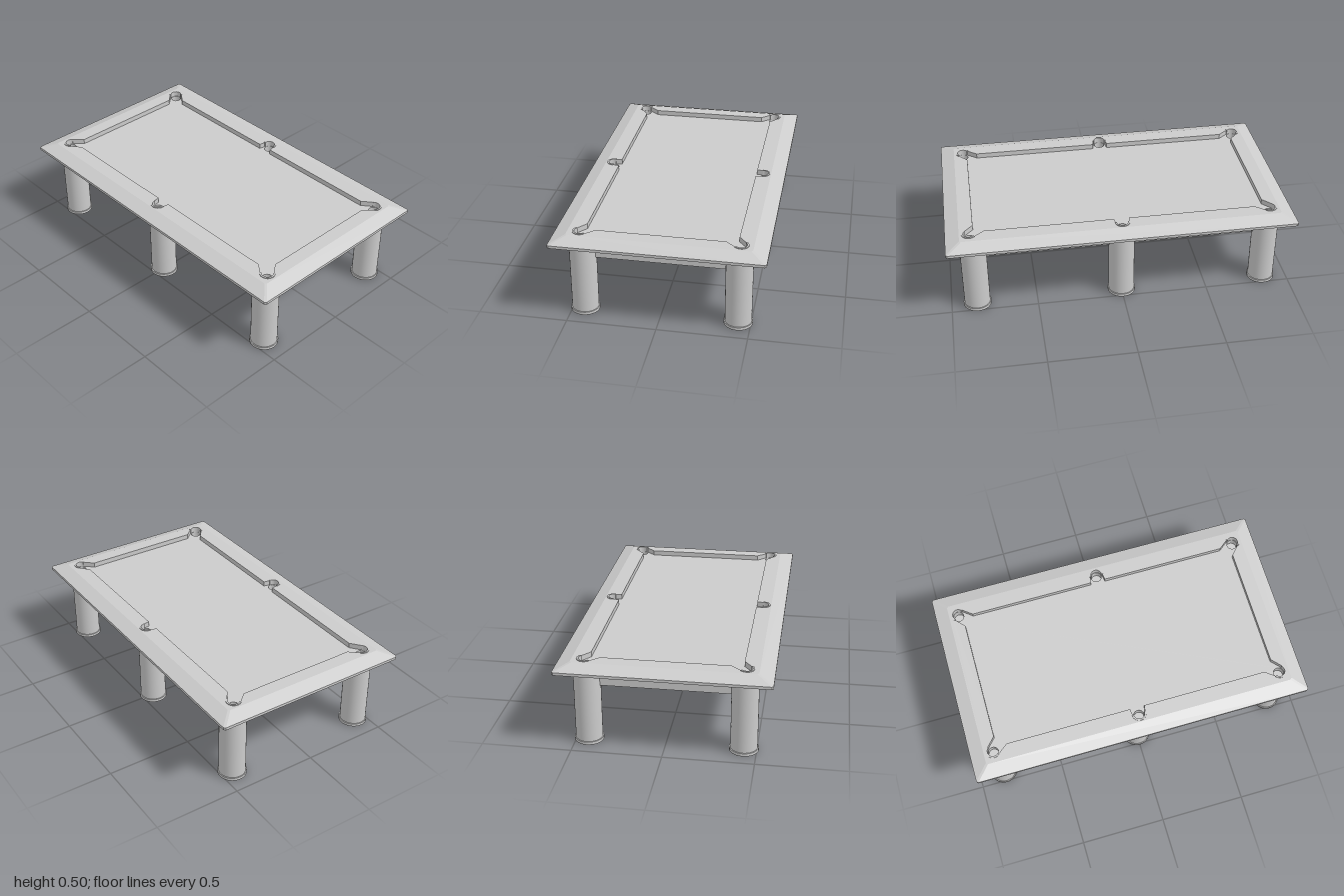
import * as THREE from 'three';

const material = new THREE.MeshStandardMaterial({ color: 0xcccccc });
const doubleSided = new THREE.MeshStandardMaterial({ color: 0xcccccc, side: THREE.DoubleSide });

const TOP = 0.496, BED = 0.466, UNDERSIDE = 0.416;
const POCKET_R = 0.037;
const corner = { x: 0.865, z: 0.437 };
const middle = { x: 0, z: 0.457 };

function add(parent, name, geometry, x = 0, y = 0, z = 0, mat = material) {
  const mesh = new THREE.Mesh(geometry, mat);
  mesh.name = name;
  mesh.position.set(x, y, z);
  parent.add(mesh);
  return mesh;
}

// Horizontal plate: shape (x, z) extruded downwards from y = 0
function plate(shape, depth) {
  return new THREE.ExtrudeGeometry(shape, { depth, bevelEnabled: false, curveSegments: 24 })
    .rotateX(Math.PI / 2);
}

function arc(cx, cz, r, fromDeg, toDeg, steps = 14) {
  return Array.from({ length: steps + 1 }, (_, i) => {
    const a = THREE.MathUtils.degToRad(fromDeg + (toDeg - fromDeg) * i / steps);
    return new THREE.Vector2(cx + r * Math.cos(a), cz + r * Math.sin(a));
  });
}

// Rectangle with small clipped corners, as [x, z] points
function rectangle(w, d, c = 0.01) {
  return [[w, d - c], [w - c, d], [c - w, d], [-w, d - c],
    [-w, c - d], [c - w, -d], [w - c, -d], [w, c - d]];
}
const rectShape = (w, d) => new THREE.Shape(rectangle(w, d).map(p => new THREE.Vector2(...p)));

// Cushion line running around the four corner and two middle pockets
function cushionOutline() {
  const V = (x, z) => new THREE.Vector2(x, z);
  const quarter = [V(0.84, 0.355), ...arc(corner.x, corner.z, POCKET_R, -40, 127), V(0.78, 0.417)];
  const mid = [V(0.043, 0.417), ...arc(middle.x, middle.z, POCKET_R, 0, 180), V(-0.043, 0.417)];
  const mirrored = quarter.map(p => V(-p.x, p.y)).reverse();
  const half = [...quarter, ...mid, ...mirrored];
  return [...half, ...half.map(p => V(-p.x, -p.y))];
}

// Sloped outer edge lofted through four rectangular loops
function edgeGeometry() {
  const loops = [[0.92, 0.505, UNDERSIDE], [1, 0.586, 0.451], [1, 0.586, 0.467], [0.92, 0.505, TOP]]
    .map(([w, d, y]) => rectangle(w, d).map(([x, z]) => [x, y, z]));
  const pos = [];
  for (let k = 0; k < loops.length - 1; k++) {
    const lo = loops[k], hi = loops[k + 1];
    for (let i = 0; i < lo.length; i++) {
      const j = (i + 1) % lo.length;
      pos.push(...lo[i], ...hi[i], ...hi[j], ...lo[i], ...hi[j], ...lo[j]);
    }
  }
  const g = new THREE.BufferGeometry();
  g.setAttribute('position', new THREE.Float32BufferAttribute(pos, 3));
  g.computeVertexNormals();
  return g;
}

export function createModel() {
  const model = new THREE.Group();
  model.name = 'billiardTable';

  const pockets = [];
  for (const sz of [-1, 1]) {
    for (const sx of [-1, 1]) pockets.push({ x: sx * corner.x, z: sz * corner.z, sx, sz });
    pockets.push({ x: 0, z: sz * middle.z, sx: 0, sz });
  }

  // Table top: edge, rails, playing bed and underside
  const top = new THREE.Group();
  top.name = 'tableTop';
  model.add(top);
  add(top, 'slopedEdge', edgeGeometry());
  const rails = rectShape(0.92, 0.505);
  rails.holes.push(new THREE.Path(cushionOutline()));
  add(top, 'rails', plate(rails, TOP - BED), 0, TOP);
  const bed = rectShape(0.915, 0.5);
  for (const p of pockets) bed.holes.push(new THREE.Path(arc(p.x, p.z, 0.03, 360, 15, 23)));
  add(top, 'playingBed', plate(bed, 0.03), 0, BED);
  add(top, 'underside', plate(rectShape(0.92, 0.505), 0.008), 0, UNDERSIDE + 0.008);

  // Pockets: sunken cup and slightly raised rim open towards the bed
  for (const p of pockets) {
    const pocket = new THREE.Group();
    pocket.name = p.sx ? 'cornerPocket' : 'middlePocket';
    pocket.position.set(p.x, 0, p.z);
    top.add(pocket);
    add(pocket, 'cup', new THREE.CylinderGeometry(0.03, 0.03, BED - UNDERSIDE - 0.006, 24, 1, true),
      0, (BED + UNDERSIDE + 0.006) / 2, 0, doubleSided);
    const facing = THREE.MathUtils.radToDeg(Math.atan2(p.sz, p.sx));
    const rim = new THREE.Shape([
      ...arc(0, 0, 0.042, facing - 95, facing + 95, 20),
      ...arc(0, 0, 0.032, facing + 95, facing - 95, 20)]);
    add(pocket, 'rim', plate(rim, 0.5 - BED), 0, 0.5);
  }

  // Six round legs with wider feet
  for (const x of [-0.85, 0, 0.85]) {
    for (const z of [-0.43, 0.43]) {
      const leg = new THREE.Group();
      leg.name = 'leg';
      leg.position.set(x, 0, z);
      model.add(leg);
      add(leg, 'column', new THREE.CylinderGeometry(0.075, 0.075, UNDERSIDE - 0.01, 32), 0, (UNDERSIDE + 0.01) / 2);
      add(leg, 'foot', new THREE.CylinderGeometry(0.081, 0.081, 0.017, 32), 0, 0.0085);
    }
  }

  // Apron beams joining the legs
  const h = 0.078, y = UNDERSIDE - h / 2 + 0.002;
  for (const s of [-1, 1]) {
    add(model, 'longApron', new THREE.BoxGeometry(1.7, h, 0.03), 0, y, s * 0.43);
    add(model, 'endApron', new THREE.BoxGeometry(0.03, h, 0.86), s * 0.85, y, 0);
  }
  return model;
}
